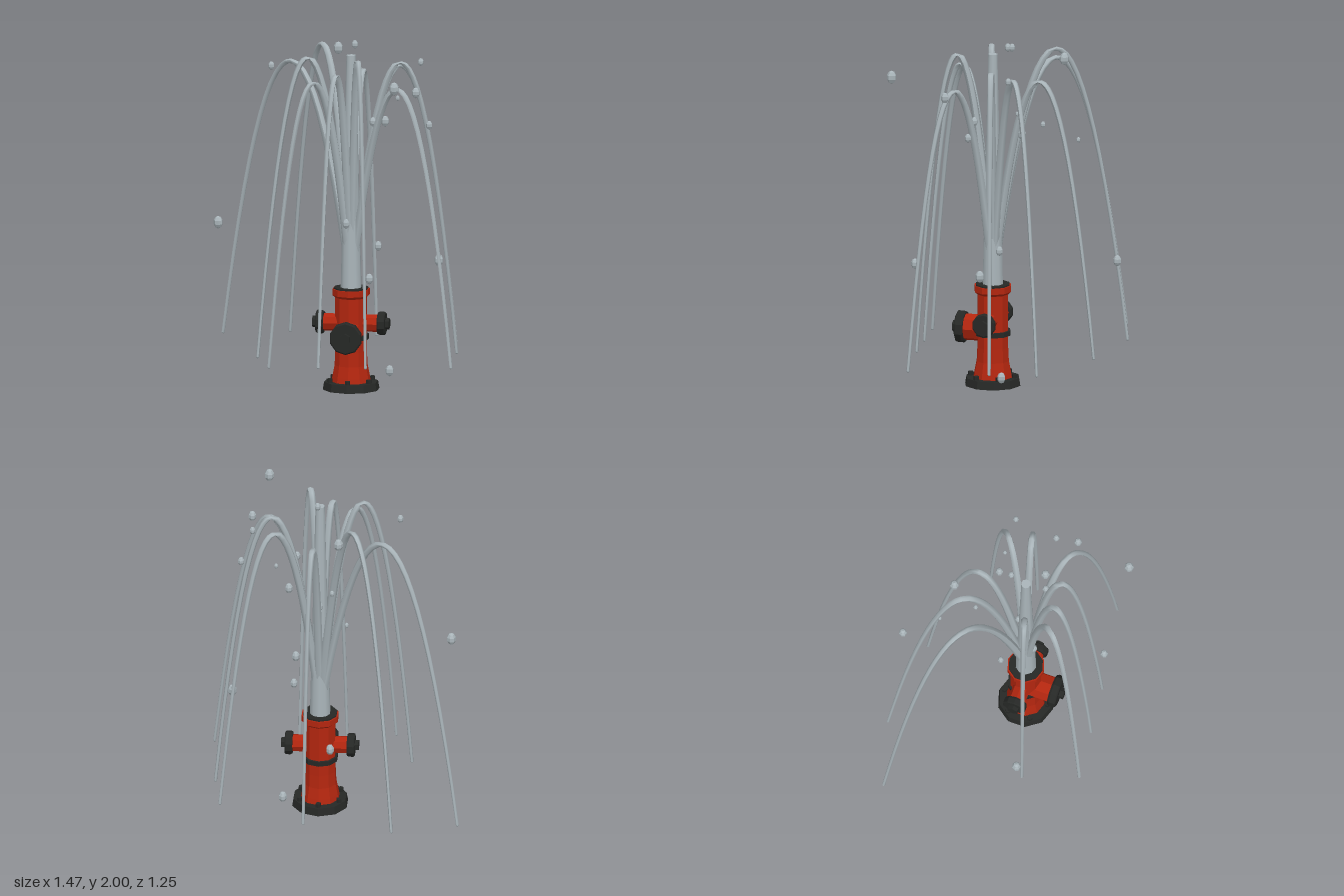
import * as THREE from 'three';

const red = new THREE.MeshStandardMaterial({ color: 0xb3260f });
red.name = 'hydrant red';
const dark = new THREE.MeshStandardMaterial({ color: 0x262826 });
dark.name = 'dark iron';
const water = new THREE.MeshStandardMaterial({ color: 0xaab5ba });
water.name = 'water';

// Faceted copy of a geometry
function flat(geo) {
  const g = geo.index ? geo.toNonIndexed() : geo;
  g.computeVertexNormals();
  return g;
}

function add(parent, name, geo, mat, x = 0, y = 0, z = 0) {
  const m = new THREE.Mesh(geo, mat);
  m.name = name;
  m.position.set(x, y, z);
  parent.add(m);
  return m;
}

// Turned part from [radius, height] pairs
function turned(points, sides) {
  return new THREE.LatheGeometry(points.map(([r, y]) => new THREE.Vector2(r, y)), sides);
}

// Outlet with pipe, cap and nut, pointing outward at a given angle
function outlet(parent, name, angle, y, pipeR, capR, start, end, tip) {
  const g = new THREE.Group();
  g.name = name;
  g.position.y = y;
  g.rotation.set(Math.PI / 2, 0, 0);
  const turn = new THREE.Group();
  turn.name = name + 'Mount';
  turn.rotation.y = angle;
  turn.add(g);
  parent.add(turn);
  add(g, 'outletPipe', flat(turned([[pipeR, 0.04], [pipeR, start]], 8)), red);
  add(g, 'outletCap', flat(turned([[0, start - 0.005], [capR * 0.92, start - 0.005], [capR, start + 0.006],
    [capR, end - 0.006], [capR * 0.92, end], [0, end]], 10)), dark);
  add(g, 'outletNut', flat(new THREE.CylinderGeometry(0.033, 0.033, tip - end, 6)), dark, 0, (tip + end) / 2, 0);
}

// Tapered ballistic water jet from the hydrant mouth
function jetGeometry(endX, endZ, peak) {
  const y0 = 0.6, y1 = 0.2, steps = 24, sides = 6;
  const up = Math.sqrt(peak - y0), down = Math.sqrt(peak - y1);
  const apex = up / (up + down), k = (peak - y0) / (apex * apex);
  const points = [];
  for (let i = 0; i <= steps; i++) {
    const t = i / steps;
    points.push(new THREE.Vector3(endX * t, peak - k * (t - apex) ** 2, endZ * t));
  }
  const curve = new THREE.CatmullRomCurve3(points);
  curve.getPointAt = curve.getPoint;
  const geo = new THREE.TubeGeometry(curve, steps, 1, sides, false);
  const pos = geo.attributes.position, v = new THREE.Vector3();
  for (let i = 0; i < pos.count; i++) {
    const row = Math.floor(i / (sides + 1));
    const r = THREE.MathUtils.lerp(0.025, 0.009, row / steps);
    v.fromBufferAttribute(pos, i).sub(points[row]).multiplyScalar(r).add(points[row]);
    pos.setXYZ(i, v.x, v.y, v.z);
  }
  geo.computeVertexNormals();
  return geo;
}

export function createModel() {
  const model = new THREE.Group();
  model.name = 'burstingHydrant';
  const cx = 0.1, cz = 0.095;
  const hydrant = new THREE.Group();
  hydrant.name = 'hydrant';
  hydrant.position.set(cx, 0, cz);
  model.add(hydrant);

  // Base flange with bolts
  add(hydrant, 'baseFlange', flat(turned([[0, 0], [0.163, 0], [0.155, 0.045], [0, 0.045]], 10)), dark);
  for (let i = 0; i < 6; i++) {
    const a = (i / 6) * Math.PI * 2;
    add(hydrant, 'baseBolt', flat(new THREE.CylinderGeometry(0.016, 0.016, 0.03, 6)), dark,
      Math.sin(a) * 0.13, 0.052, Math.cos(a) * 0.13);
  }

  // Barrel and collar
  add(hydrant, 'barrel', flat(turned([[0.113, 0.045], [0.108, 0.075], [0.095, 0.14], [0.091, 0.22],
    [0.091, 0.53], [0.108, 0.545], [0.108, 0.58], [0, 0.58]], 10)), red);
  add(hydrant, 'barrelBand', flat(turned([[0.085, 0.29], [0.104, 0.29], [0.104, 0.318], [0.085, 0.318]], 10)), dark);
  add(hydrant, 'mouthRing', flat(turned([[0.1, 0.575], [0.1, 0.588], [0, 0.588]], 10)), dark);

  // Outlets
  outlet(hydrant, 'frontOutlet', 0, 0.325, 0.077, 0.093, 0.163, 0.208, 0.234);
  outlet(hydrant, 'leftOutlet', Math.PI / 2, 0.383, 0.05, 0.068, 0.16, 0.199, 0.221);
  outlet(hydrant, 'rightOutlet', -Math.PI / 2, 0.383, 0.05, 0.068, 0.16, 0.199, 0.221);

  // Central column of water
  add(hydrant, 'waterColumn', new THREE.CylinderGeometry(0.027, 0.06, 1.345, 10), water, 0, 1.2555, 0);

  // Falling jets: end x, end z, peak height
  const jets = [
    [-0.727, -0.459, 1.835], [-0.359, -0.569, 1.93], [0.147, -0.514, 1.79], [0.637, -0.318, 1.84],
    [0.684, -0.051, 1.88], [0.727, 0.416, 1.765], [0.249, 0.502, 1.93], [-0.018, 0.533, 1.845],
    [-0.296, 0.565, 1.8], [-0.41, 0.259, 1.92],
  ];
  for (const [x, z, peak] of jets) {
    add(hydrant, 'waterJet', jetGeometry(x - cx, z - cz, peak), water);
    // Closed tip at the lower end
    add(model, 'jetTip', new THREE.SphereGeometry(0.009, 6, 4), water, x, 0.2, z);
  }

  // Loose droplets: x, y, z, radius
  const drops = [
    [-0.014, 0.741, -0.608, 0.024], [-0.088, 1.413, -0.357, 0.012], [-0.036, 1.894, -0.288, 0.027],
    [0.01, 1.513, -0.176, 0.014], [0.26, 1.51, -0.125, 0.023], [0.333, 1.646, -0.118, 0.012],
    [0.469, 1.862, -0.102, 0.017], [0.304, 0.09, -0.014, 0.024], [0.595, 0.746, 0.03, 0.026],
    [0.552, 1.54, 0.112, 0.019], [0.5, 1.753, 0.263, 0.023], [0.272, 0.716, 0.505, 0.023],
    [0.43, 1.836, 0.598, 0.028], [-0.356, 1.857, 0.112, 0.018], [-0.63, 0.98, 0.308, 0.027],
    [0.107, 1.974, 0.004, 0.018], [0.237, 1.56, 0.165, 0.02], [0.243, 0.815, 0.015, 0.021],
    [0.08, 0.963, 0.15, 0.021], [0.1, 1.3, 0.05, 0.02],
  ];
  for (const [x, y, z, r] of drops) {
    const drop = add(model, 'droplet', flat(new THREE.SphereGeometry(r, 7, 5)), water, x, y, z);
    drop.scale.y = 1.35;
  }
  return model;
}
